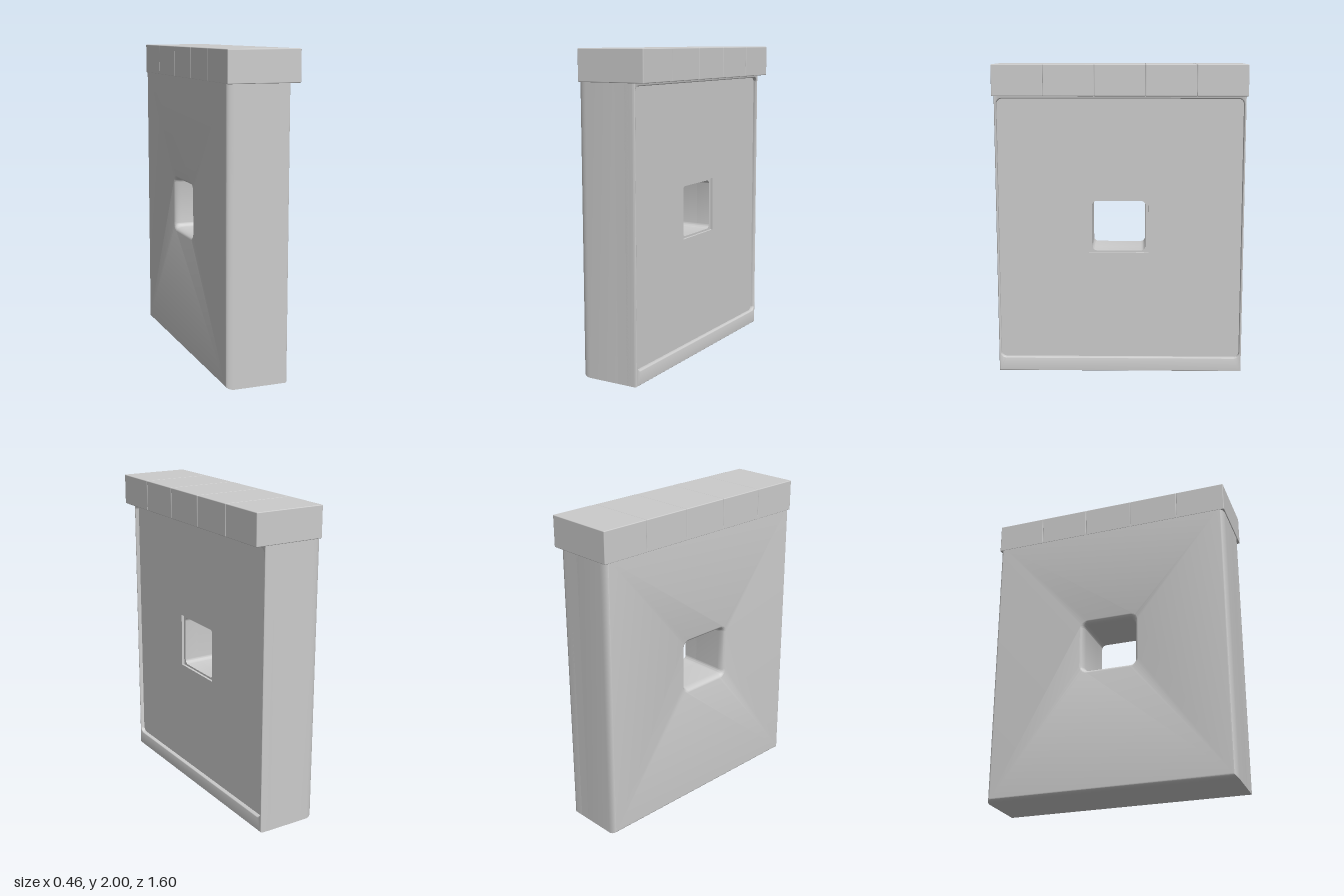
import * as THREE from 'three';
import { toCreasedNormals } from 'three/addons/utils/BufferGeometryUtils.js';
import { RoundedBoxGeometry } from 'three/addons/geometries/RoundedBoxGeometry.js';

const material = new THREE.MeshStandardMaterial({ color: 0xcccccc });

// Rounded rectangle outline; r = 0 gives square corners
function rect(Type, x0, x1, y0, y1, r = 0) {
  const s = new Type();
  if (!r) {
    s.moveTo(x0, y0).lineTo(x1, y0).lineTo(x1, y1).lineTo(x0, y1).closePath();
    return s;
  }
  s.absarc(x1 - r, y0 + r, r, -Math.PI / 2, 0);
  s.absarc(x1 - r, y1 - r, r, 0, Math.PI / 2);
  s.absarc(x0 + r, y1 - r, r, Math.PI / 2, Math.PI);
  s.absarc(x0 + r, y0 + r, r, Math.PI, Math.PI * 1.5);
  s.closePath();
  return s;
}

// Slab standing across x from xa to xb, with one opening and optional rounded edges
function slab(name, outline, hole, xa, xb, size = 0, thick = 0) {
  outline.holes.push(hole);
  const geo = new THREE.ExtrudeGeometry(outline, {
    depth: xb - xa - 2 * thick,
    bevelEnabled: size > 0,
    bevelSize: size,
    bevelOffset: -size,
    bevelThickness: thick,
    bevelSegments: 6,
    curveSegments: 6,
  });
  geo.translate(0, 0, xa + thick).rotateY(Math.PI / 2);
  const mesh = new THREE.Mesh(toCreasedNormals(geo, 0.65), material);
  mesh.name = name;
  return mesh;
}

export function createModel() {
  const model = new THREE.Group();
  model.name = 'wallWithWindow';

  const top = 1.85; // wall runs up into the coping
  const outer = () => rect(THREE.Shape, -0.795, 0.795, 0, top);
  const opening = () => rect(THREE.Path, -0.18, 0.165, 0.805, 1.13, 0.03);

  // Wall: soft-edged back, window ledge, inset panel and raised rim
  model.add(
    slab('wallBack', outer(), opening(), -0.227, 0.08, 0.025, 0.05),
    slab('windowLedge', outer(), opening(), 0.02, 0.122),
    slab('insetPanel', rect(THREE.Shape, -0.787, 0.787, 0.03, 1.82),
      rect(THREE.Path, -0.2, 0.185, 0.793, 1.143), 0.115, 0.138),
    slab('rim', outer(), rect(THREE.Path, -0.78, 0.78, 0.095, 1.785, 0.035),
      0.08, 0.163, 0.007, 0.015),
  );

  // Coping: a row of five blocks
  const coping = new THREE.Group();
  coping.name = 'coping';
  for (let i = 0; i < 5; i++) {
    const block = new THREE.Mesh(new RoundedBoxGeometry(0.456, 0.196, 0.32, 2, 0.005), material);
    block.name = 'copingBlock' + (i + 1);
    block.position.set(0, 1.902, (i - 2) * 0.32);
    coping.add(block);
  }
  model.add(coping);
  return model;
}
